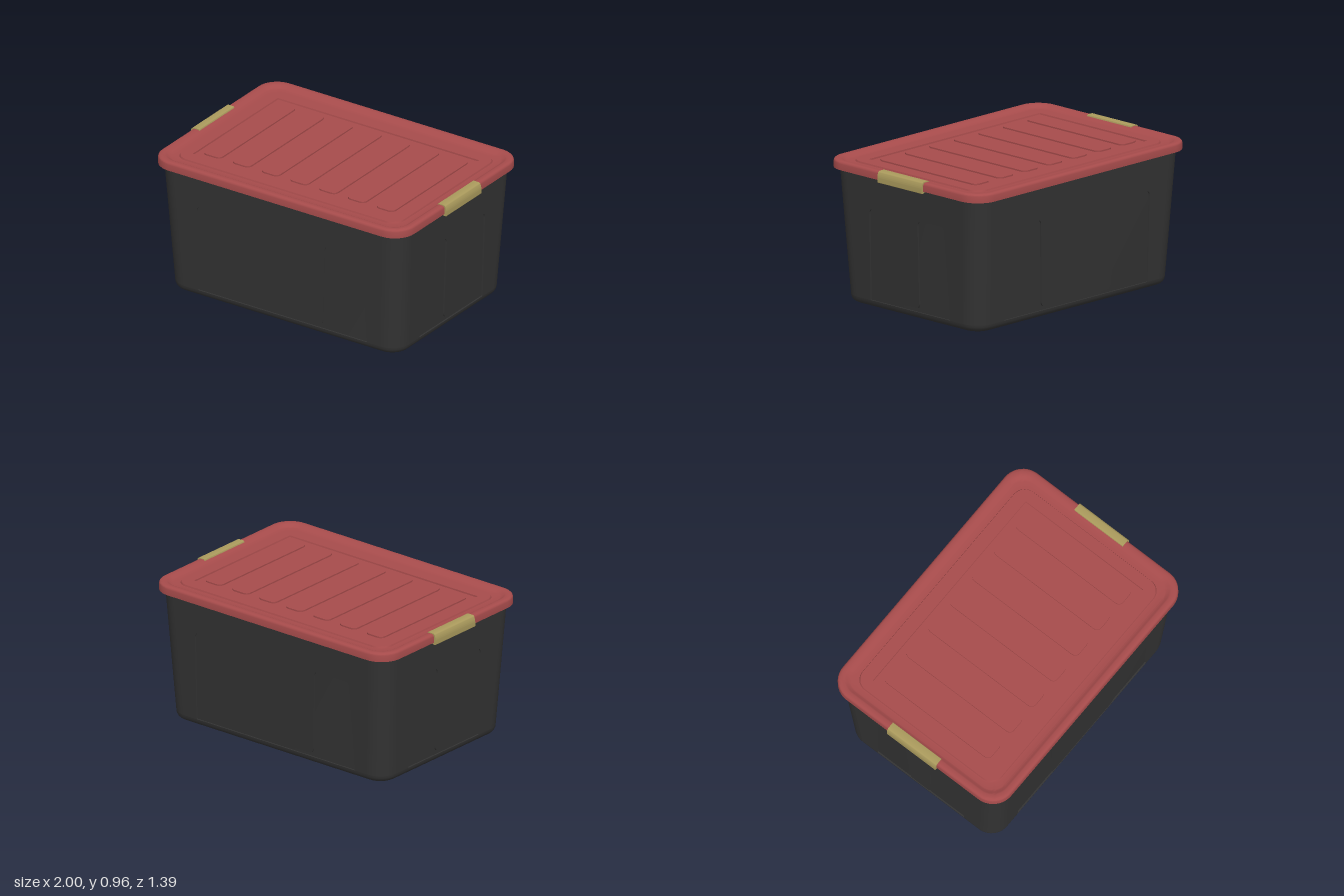
import * as THREE from 'three';
import { toCreasedNormals } from 'three/addons/utils/BufferGeometryUtils.js';

const black = new THREE.MeshStandardMaterial({ color: 0x333333 });
black.name = 'charcoal plastic';
const red = new THREE.MeshStandardMaterial({ color: 0xa64b4b });
red.name = 'red plastic';
const tan = new THREE.MeshStandardMaterial({ color: 0xaa9a5c });
tan.name = 'tan plastic';

const SEG = 10;       // segments per rounded corner
const FILLET = 0.05;  // rounding at the tub base
const RECESS = 0.01;  // depth of the wall panels
const TOP = 0.92;
const RADIUS = 0.13;

// half sizes of the tapered tub at a height
const halfX = (y) => 0.9 + (0.05 * (y - FILLET)) / 0.85;
const halfZ = (y) => halfX(y) - 0.29;

// skin through rounded-rectangle rings [halfX, halfZ, cornerRadius, y]
function loft(rings, cornersOnly = false) {
  const pos = [], idx = [], n = 4 * (SEG + 1);
  for (const [hx, hz, r, y] of rings) {
    for (let c = 0; c < 4; c++) {
      const sx = c === 0 || c === 3 ? 1 : -1, sz = c < 2 ? 1 : -1;
      for (let s = 0; s <= SEG; s++) {
        const a = ((c + s / SEG) * Math.PI) / 2;
        pos.push(sx * (hx - r) + r * Math.cos(a), y, sz * (hz - r) + r * Math.sin(a));
      }
    }
  }
  for (let i = 0; i < rings.length - 1; i++) {
    for (let j = 0; j < n; j++) {
      if (cornersOnly && j % (SEG + 1) === SEG) continue;
      const k = (j + 1) % n, a = i * n + j, b = i * n + k;
      idx.push(a, a + n, b, b, a + n, b + n);
    }
  }
  const g = new THREE.BufferGeometry();
  g.setAttribute('position', new THREE.Float32BufferAttribute(pos, 3));
  g.setIndex(idx);
  return toCreasedNormals(g, 0.55);
}

// closed outline from [x, y, cornerRadius] points
function roundedShape(points) {
  const shape = new THREE.Shape(), n = points.length;
  points.forEach(([x, y, r = 0], i) => {
    const p = new THREE.Vector2(x, y);
    const toward = (q) => p.clone().add(new THREE.Vector2(q[0] - x, q[1] - y).setLength(r));
    const a = toward(points[(i + n - 1) % n]), b = toward(points[(i + 1) % n]);
    if (i === 0) shape.moveTo(a.x, a.y);
    else shape.lineTo(a.x, a.y);
    if (r > 0) shape.quadraticCurveTo(x, y, b.x, b.y);
  });
  return shape;
}

function extrude(shape, depth) {
  return new THREE.ExtrudeGeometry(shape, { depth, bevelEnabled: false, curveSegments: 6 });
}

function add(parent, name, geometry, material) {
  const m = new THREE.Mesh(geometry, material);
  m.name = name;
  parent.add(m);
  return m;
}

// raised wall skin that leaves a U-shaped recess open at the bottom
function wallPlate(half, depthAt, u) {
  const b = half(FILLET) - RADIUS, t = half(TOP) - RADIUS, r = 0.035;
  const right = [
    [u.inBottom, 0.075, r], [u.inTop, 0.673, r], [u.outTop, 0.673, r],
    [u.outBottom, FILLET], [b, FILLET], [t, TOP],
  ];
  const left = right.map(([x, y, q]) => [-x, y, q]).reverse();
  const g = extrude(roundedShape([...right, ...left]), RECESS);
  const p = g.attributes.position;
  for (let i = 0; i < p.count; i++) p.setZ(i, p.getZ(i) + depthAt(p.getY(i)) - RECESS);
  g.computeVertexNormals();
  return g;
}

function createTub() {
  const tub = new THREE.Group();
  tub.name = 'tub';

  // base with shallow foot recess, rounded edge, then the recessed wall core
  const rings = [[0, 0, 0, 0.008], [0.81, 0.52, 0.04, 0.008], [0.81, 0.52, 0.04, 0]];
  for (let i = 0; i <= 5; i++) {
    const a = (i / 5) * Math.PI / 2, inset = FILLET * (1 - Math.sin(a));
    rings.push([0.9 - inset, 0.61 - inset, RADIUS - inset, FILLET * (1 - Math.cos(a))]);
  }
  for (const y of [FILLET, TOP]) {
    rings.push([halfX(y) - RECESS, halfZ(y) - RECESS, RADIUS - RECESS, y]);
  }
  add(tub, 'tubCore', loft(rings), black);

  // full-size rounded corners
  const corner = [FILLET, TOP].map((y) => [halfX(y), halfZ(y), RADIUS, y]);
  add(tub, 'tubCorners', loft(corner, true), black);

  // wall skins on all four sides
  const long = wallPlate(halfX, halfZ, { inBottom: 0.315, inTop: 0.355, outTop: 0.645, outBottom: 0.662 });
  const short = wallPlate(halfZ, halfX, { inBottom: 0.083, inTop: 0.1, outTop: 0.334, outBottom: 0.358 });
  ['frontWall', 'leftWall', 'backWall', 'rightWall'].forEach((name, i) => {
    add(tub, name, i % 2 ? short : long, black).rotation.y = (i * Math.PI) / 2;
  });
  return tub;
}

function createLid() {
  const lid = new THREE.Group();
  lid.name = 'lid';
  // underside, skirt, rounded rim, gutter, raised border and sunken centre
  add(lid, 'lidShell', loft([
    [0, 0, 0, 0.918], [0.96, 0.67, 0.13, 0.918], [0.962, 0.672, 0.13, 0.897],
    [0.985, 0.695, 0.15, 0.897], [0.985, 0.695, 0.15, 0.938], [0.982, 0.692, 0.147, 0.947],
    [0.975, 0.685, 0.14, 0.953], [0.966, 0.676, 0.135, 0.955], [0.945, 0.655, 0.12, 0.955],
    [0.935, 0.645, 0.115, 0.951], [0.92, 0.63, 0.105, 0.938], [0.91, 0.62, 0.1, 0.935],
    [0.87, 0.577, 0.09, 0.935], [0.866, 0.573, 0.09, 0.945],
    [0.787, 0.484, 0.003, 0.945], [0.785, 0.482, 0.003, 0.935], [0, 0, 0, 0.935],
  ]), red);

  // seven ribs across the centre
  const w = 0.07, h = 0.438, r = 0.04;
  const rib = extrude(roundedShape([[-w, -h, r], [w, -h, r], [w, h, r], [-w, h, r]]), 0.012);
  rib.rotateX(-Math.PI / 2);
  for (let i = -3; i <= 3; i++) add(lid, 'lidRib', rib, red).position.set(i * 0.225, 0.933, 0);
  return lid;
}

// hooked clip that wraps over the lid rim
function createClip() {
  const profile = roundedShape([
    [0.932, 0.946], [0.935, 0.96, 0.004], [0.99, 0.96, 0.015], [1, 0.925, 0.01],
    [1, 0.884, 0.004], [0.975, 0.884, 0.004], [0.975, 0.897], [0.984, 0.9], [0.984, 0.946],
  ].reverse());
  const g = extrude(profile, 0.4);
  g.translate(0, 0, -0.2);
  return toCreasedNormals(g, 0.5);
}

export function createModel() {
  const model = new THREE.Group();
  model.name = 'storageBox';
  model.add(createTub(), createLid());
  const clip = createClip();
  add(model, 'leftClip', clip, tan);
  add(model, 'rightClip', clip, tan).rotation.y = Math.PI;
  return model;
}
